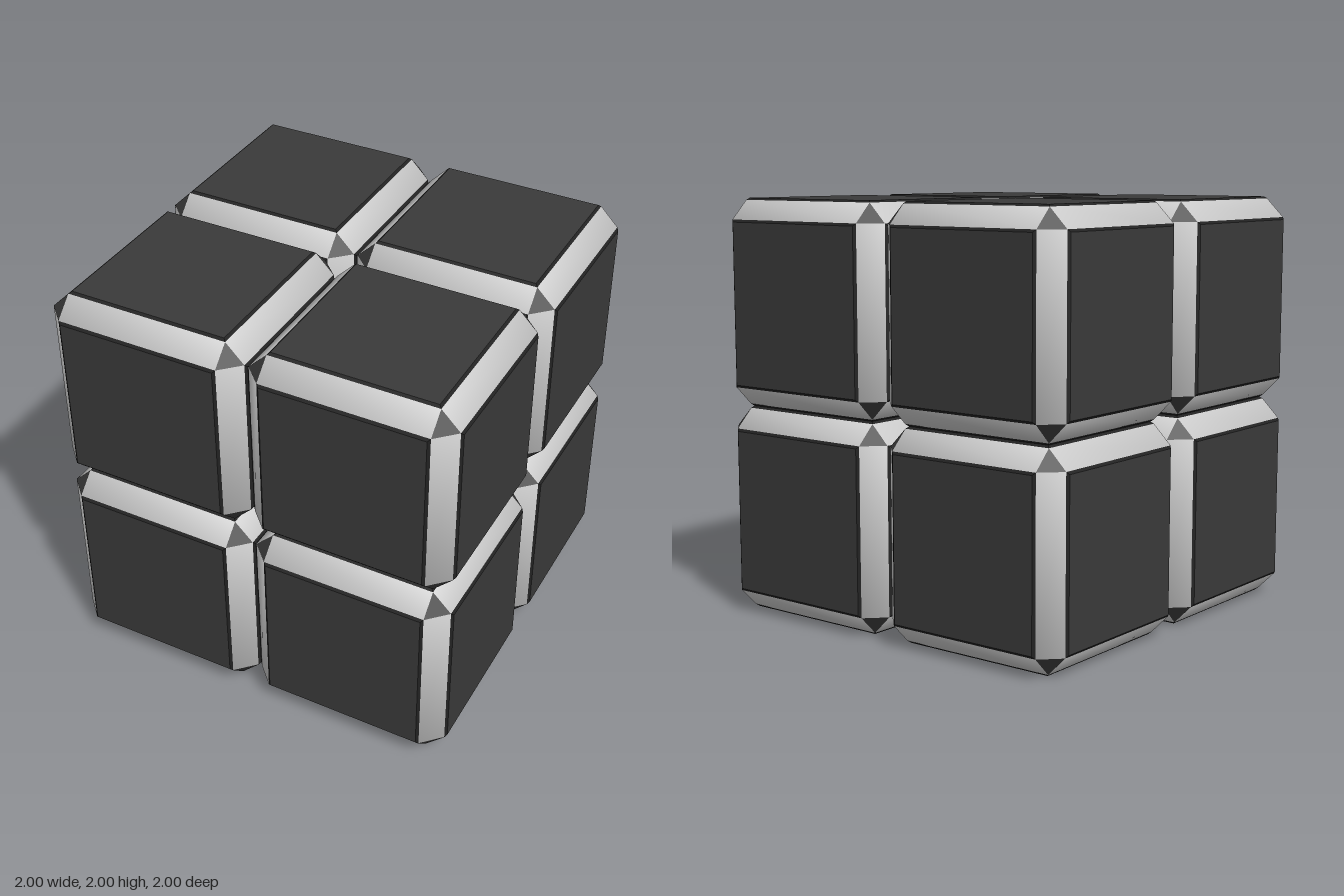
import * as THREE from 'three';

const FLAT = 0.4;    // half width of a flat face
const EDGE = 0.49;   // reach of the bevelled edges
const TOP = 0.5;     // reach of the raised panels
const INNER = 0.388; // half width of a raised panel

const edgeMat = new THREE.MeshStandardMaterial({ color: 0xcccccc });
const panelMat = new THREE.MeshStandardMaterial({ color: 0x3a3a3a });
const rimMat = new THREE.MeshStandardMaterial({ color: 0x222222 });
const signs = [-1, 1];

// Point whose coordinate on the main axis is `far`, the others being `near`
function corner(s, axis, far = EDGE, near = FLAT) {
  const p = new THREE.Vector3(s[0] * near, s[1] * near, s[2] * near);
  return p.setComponent(axis, s[axis] * far);
}

// Convex polygons around the origin, each turned to face outward
function shell(polygons, smooth) {
  const pos = [], nor = [];
  for (const poly of polygons) {
    const n = poly[1].clone().sub(poly[0]).cross(poly[2].clone().sub(poly[0])).normalize();
    const pts = n.dot(poly[0]) < 0 ? [...poly].reverse() : poly;
    if (pts !== poly) n.negate();
    for (let i = 1; i < pts.length - 1; i++) {
      for (const p of [pts[0], pts[i], pts[i + 1]]) {
        pos.push(p.x, p.y, p.z);
        // Smooth normals lean mostly toward the neighbouring flat face
        const m = smooth
          ? new THREE.Vector3(...p.toArray().map(v => Math.sign(v) * (Math.abs(v) > FLAT + 0.01 ? 1 : 0.43))).normalize()
          : n;
        nor.push(m.x, m.y, m.z);
      }
    }
  }
  const g = new THREE.BufferGeometry();
  g.setAttribute('position', new THREE.Float32BufferAttribute(pos, 3));
  g.setAttribute('normal', new THREE.Float32BufferAttribute(nor, 3));
  return g;
}

function blockGeometries() {
  const edges = [], corners = [], rims = [], panels = [];
  const at = (axis, u, v, su, sv, s) => {
    const a = [0, 0, 0];
    a[axis] = s; a[u] = su; a[v] = sv;
    return a;
  };
  for (let axis = 0; axis < 3; axis++) {
    const u = (axis + 1) % 3, v = (axis + 2) % 3;
    // Bevelled strips running along this axis
    for (const su of signs) for (const sv of signs) {
      const a = at(axis, u, v, su, sv, -1), b = at(axis, u, v, su, sv, 1);
      edges.push([corner(a, u), corner(a, v), corner(b, v), corner(b, u)]);
    }
    // Raised panel and its sloping rim on both faces of this axis
    for (const s of signs) {
      const ring = [[-1, -1], [1, -1], [1, 1], [-1, 1]].map(([a, b]) => at(axis, u, v, a, b, s));
      const low = ring.map(r => corner(r, axis));
      const high = ring.map(r => corner(r, axis, TOP, INNER));
      panels.push(high);
      for (let i = 0; i < 4; i++) {
        const j = (i + 1) % 4;
        rims.push([low[i], low[j], high[j], high[i]]);
      }
    }
  }
  // Triangular corner facets
  for (const x of signs) for (const y of signs) for (const z of signs) {
    corners.push([0, 1, 2].map(axis => corner([x, y, z], axis)));
  }
  return [
    ['bevelledEdges', shell(edges, true), edgeMat],
    ['cornerFacets', shell(corners, false), panelMat],
    ['panelRims', shell(rims, false), rimMat],
    ['facePanels', shell(panels, false), panelMat],
  ];
}

export function createModel() {
  const model = new THREE.Group();
  model.name = 'blockCube';
  const parts = blockGeometries();
  // Eight equal blocks, two along each axis
  for (const x of signs) for (const y of signs) for (const z of signs) {
    const block = new THREE.Group();
    block.name = `${y > 0 ? 'upper' : 'lower'}${z > 0 ? 'Front' : 'Back'}${x > 0 ? 'Left' : 'Right'}Block`;
    for (const [name, geometry, material] of parts) {
      const mesh = new THREE.Mesh(geometry, material);
      mesh.name = name;
      block.add(mesh);
    }
    block.position.set(x * 0.5, 1 + y * 0.5, z * 0.5);
    model.add(block);
  }
  return model;
}
